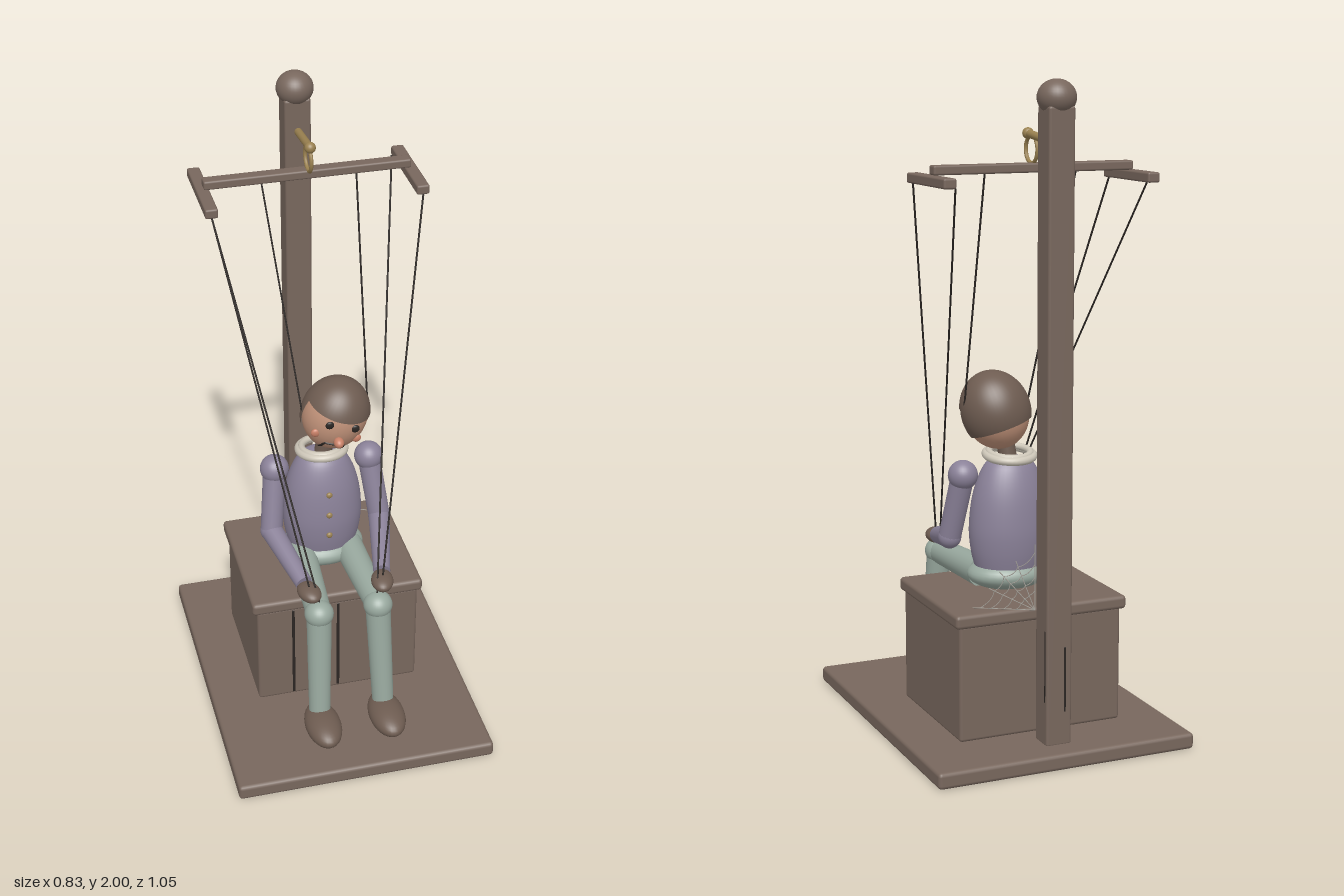
import * as THREE from 'three';
import { RoundedBoxGeometry } from 'three/addons/geometries/RoundedBoxGeometry.js';

const V = (x, y, z) => new THREE.Vector3(x, y, z);
const mat = (name, color, side = THREE.FrontSide) => {
  const m = new THREE.MeshStandardMaterial({ color, side });
  m.name = name;
  return m;
};

export function createModel() {
  const wood = mat('wood', 0x78675d);
  const brown = mat('dark wood', 0x6e5c51, THREE.DoubleSide);
  const lilac = mat('lilac cloth', 0x8b8299);
  const green = mat('green cloth', 0x98a89e);
  const skin = mat('painted skin', 0xc2937a);
  const blush = mat('blush', 0xc98168);
  const brass = mat('brass', 0x9a8150);
  const dark = mat('dark cord', 0x2b2623);
  const cream = mat('cream ruff', 0xcdc6b8);
  const web = mat('cobweb grey', 0xa8a49c);

  const root = new THREE.Group();
  root.name = 'seatedMarionette';

  const add = (name, geo, material, pos = [0, 0, 0], parent = root) => {
    const m = new THREE.Mesh(geo, material);
    m.name = name;
    m.position.set(...pos);
    parent.add(m);
    return m;
  };
  const block = (name, size, pos, material = wood, r = 0.008) =>
    add(name, new RoundedBoxGeometry(...size, 2, r), material, pos);
  const ball = (name, radii, pos, material, parent = root) => {
    const m = add(name, new THREE.SphereGeometry(1, 32, 20), material, pos, parent);
    m.scale.set(...radii);
    return m;
  };
  // Tapered rod from a (radius ra) to b (radius rb)
  const rod = (name, a, b, ra, rb, material, sides = 20) => {
    const d = b.clone().sub(a);
    const m = add(name, new THREE.CylinderGeometry(rb, ra, d.length(), sides), material,
      a.clone().add(b).multiplyScalar(0.5).toArray());
    m.quaternion.setFromUnitVectors(V(0, 1, 0), d.normalize());
    return m;
  };

  // Stand: base, post and finial
  block('base', [0.83, 0.05, 1.05], [0, 0.025, 0], wood, 0.012);
  block('post', [0.082, 1.88, 0.082], [0, 0.985, -0.405]);
  ball('postFinial', [0.057, 0.052, 0.057], [0, 1.948, -0.405], wood);
  block('postCrackSide', [0.006, 0.22, 0.007], [0.039, 0.29, -0.432], dark, 0.002);
  block('postCrackBack', [0.007, 0.2, 0.006], [-0.018, 0.25, -0.444], dark, 0.002);

  // Crate seat with plank seams
  block('crate', [0.53, 0.36, 0.455], [0, 0.23, -0.092], wood, 0.01);
  block('crateLid', [0.56, 0.042, 0.475], [0, 0.424, -0.095], wood, 0.012);
  for (const x of [-0.148, 0, 0.148]) block('plankSeam', [0.009, 0.34, 0.006], [x, 0.23, 0.135], dark, 0.002);

  // Control bar with two end paddles
  block('controlBar', [0.635, 0.028, 0.039], [0, 1.743, -0.249], wood, 0.006);
  for (const s of [-1, 1]) block('endPaddle', [0.039, 0.03, 0.29], [s * 0.319, 1.714, -0.25], wood, 0.006);

  // Brass hook and ring
  rod('hookArm', V(0, 1.822, -0.37), V(0, 1.84, -0.21), 0.012, 0.012, brass);
  ball('hookKnob', [0.017, 0.017, 0.017], [0, 1.84, -0.212], brass);
  add('hangingRing', new THREE.TorusGeometry(0.04, 0.006, 10, 32), brass, [0, 1.795, -0.237]).rotation.y = Math.PI / 2;

  // Torso, buttons and pelvis
  const profile = [[0, 0.47], [0.09, 0.48], [0.115, 0.53], [0.127, 0.6], [0.127, 0.66],
    [0.118, 0.73], [0.1, 0.79], [0.075, 0.835], [0.045, 0.852], [0, 0.856]];
  const curve = new THREE.SplineCurve(profile.map(([x, y]) => new THREE.Vector2(x, y)));
  const points = curve.getPoints(32).map(p => new THREE.Vector2(Math.max(0, p.x), p.y));
  add('torso', new THREE.LatheGeometry(points, 40), lilac, [0, 0, -0.08]).scale.z = 0.8;
  for (const [y, z] of [[0.745, 0.02], [0.668, 0.022], [0.59, 0.022]]) ball('button', [0.01, 0.01, 0.007], [0, y, z], brass);
  ball('pelvis', [0.135, 0.052, 0.105], [0, 0.49, -0.078], green);

  // Neck and ruff
  rod('neck', V(0, 0.82, -0.08), V(0.012, 0.92, -0.07), 0.028, 0.028, brown);
  for (const [r, y, t] of [[0.073, 0.86, 0.013], [0.064, 0.868, 0.011]]) {
    const ruff = add('ruffRing', new THREE.TorusGeometry(r, t, 12, 40), cream, [0, y, -0.082]);
    ruff.rotation.x = Math.PI / 2 - 0.12;
  }

  // Head, tilted to its left and bowed
  const head = new THREE.Group();
  head.name = 'head';
  head.position.set(0.04, 0.997, -0.066);
  head.rotation.set(0.14, -0.05, -0.29);
  root.add(head);
  const R = [0.103, 0.12, 0.1];
  const onFace = (x, y, lift = 0) =>
    V(x, y, R[2] * Math.sqrt(1 - (x / R[0]) ** 2 - (y / R[1]) ** 2) + lift);
  ball('face', R, [0, 0, 0], skin, head);
  const hairCap = add('hairCap', new THREE.SphereGeometry(1, 40, 16, 0, Math.PI * 2, 0, 1.24), brown, [0, 0, 0], head);
  const hairBack = add('hairBack', new THREE.SphereGeometry(1, 32, 12, Math.PI - 0.1, Math.PI + 0.2, 1.2, 0.8), brown, [0, 0, 0], head);
  for (const h of [hairCap, hairBack]) h.scale.set(0.109, 0.126, 0.108);
  for (const s of [-1, 1]) {
    ball('eye', [0.014, 0.014, 0.007], onFace(s * 0.042, 0.018).toArray(), dark, head);
    ball('cheek', [0.015, 0.015, 0.009], onFace(s * 0.068, -0.034).toArray(), blush, head);
  }
  ball('nose', [0.016, 0.016, 0.02], onFace(0, -0.03, 0.012).toArray(), blush, head);
  const jaw = [[-0.032, -0.098], [-0.033, -0.08], [-0.031, -0.06], [-0.015, -0.056], [0, -0.055],
    [0.015, -0.056], [0.031, -0.06], [0.033, -0.08], [0.032, -0.098]];
  add('jawLine', new THREE.TubeGeometry(new THREE.CatmullRomCurve3(jaw.map(p => onFace(...p))), 40, 0.004, 6), dark, [0, 0, 0], head);

  // Arms, legs and their strings, mirrored
  for (const s of [-1, 1]) {
    const shoulder = V(s * 0.154, 0.808, -0.08), elbow = V(s * 0.178, 0.605, -0.03), wrist = V(s * 0.126, 0.552, 0.195);
    ball('shoulder', [0.046, 0.046, 0.046], shoulder.toArray(), lilac);
    rod('upperArm', shoulder, elbow, 0.036, 0.035, lilac);
    ball('elbow', [0.036, 0.036, 0.036], elbow.toArray(), lilac);
    rod('forearm', elbow, wrist, 0.035, 0.027, lilac);
    const hand = ball('hand', [0.035, 0.024, 0.052], [s * 0.118, 0.543, 0.23], brown);
    hand.rotation.y = -s * 0.2;

    const hip = V(s * 0.078, 0.488, -0.05), knee = V(s * 0.095, 0.48, 0.265), ankle = V(s * 0.105, 0.11, 0.31);
    rod('thigh', hip, knee, 0.048, 0.04, green);
    ball('knee', [0.046, 0.043, 0.046], knee.toArray(), green);
    rod('shin', knee, ankle, 0.04, 0.034, green);
    ball('foot', [0.057, 0.041, 0.104], [s * 0.105, 0.098, 0.355], brown);

    rod('handString', V(s * 0.319, 1.7, -0.107), V(s * 0.118, 0.56, 0.235), 0.003, 0.003, dark, 6);
    rod('kneeString', V(s * 0.3, 1.7, -0.385), V(s * 0.092, 0.515, 0.265), 0.003, 0.003, dark, 6);
  }
  rod('headString', V(-0.143, 1.73, -0.237), V(-0.066, 1.02, -0.07), 0.003, 0.003, dark, 6);
  rod('headString', V(0.148, 1.73, -0.237), V(0.146, 1.0, -0.07), 0.003, 0.003, dark, 6);

  // Cobweb between post and crate lid: spokes joined by sagging threads
  const corner = V(0.042, 0.447, -0.362);
  const webPoint = (i, t) => {
    const a = i / 4 * Math.PI / 2;
    const reach = t * (i === 0 || i === 4 ? 1 : 0.8);
    return V(corner.x + 0.16 * Math.cos(a) * reach, corner.y + 0.2 * Math.sin(a) * reach,
      corner.z + 0.095 * Math.cos(a) * reach);
  };
  for (let i = 0; i <= 4; i++) rod('webSpoke', corner, webPoint(i, 1), 0.0014, 0.0014, web, 5);
  for (const t of [0.3, 0.5, 0.7, 0.88]) {
    for (let i = 0; i < 4; i++) {
      const a = webPoint(i, t), b = webPoint(i + 1, t);
      const mid = a.clone().add(b).multiplyScalar(0.5).lerp(corner, 0.12);
      add('webThread', new THREE.TubeGeometry(new THREE.QuadraticBezierCurve3(a, mid, b), 6, 0.0012, 4), web);
    }
  }
  return root;
}
